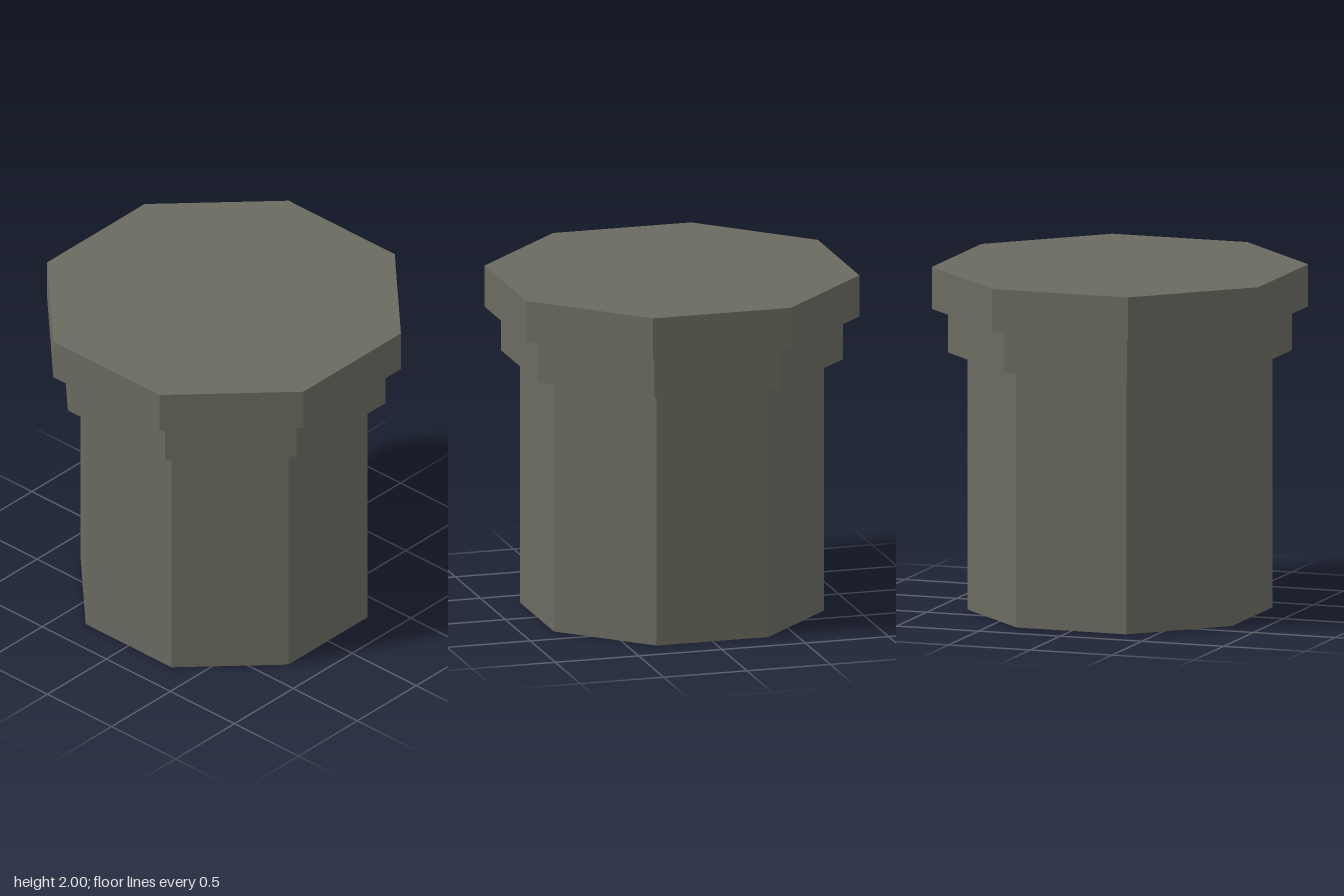
import * as THREE from 'three';

export function createModel() {
  const group = new THREE.Group();
  group.name = 'octagonalPillar';

  const stone = new THREE.MeshStandardMaterial({ color: 0x6a6a60, flatShading: true, side: THREE.DoubleSide });
  stone.name = 'dark grey stone';

  // Octagonal shell; profile radii are measured to the flat sides
  const addShell = (name, profile) => {
    const points = profile.map(([r, y]) => new THREE.Vector2(r / Math.cos(Math.PI / 8), y));
    const mesh = new THREE.Mesh(new THREE.LatheGeometry(points, 8, Math.PI / 8), stone);
    mesh.name = name;
    group.add(mesh);
  };

  // Hollow shaft, open at the bottom
  addShell('shaft', [[0.81, 0], [0.81, 1.5]]);
  // Stepped collar with its underside ledge
  addShell('collar', [[0.81, 1.5], [0.914, 1.5], [0.914, 1.755]]);
  // Wide cap with ledge, rim and closed top
  addShell('cap', [[0.914, 1.755], [1, 1.755], [1, 2], [0, 2]]);

  return group;
}
